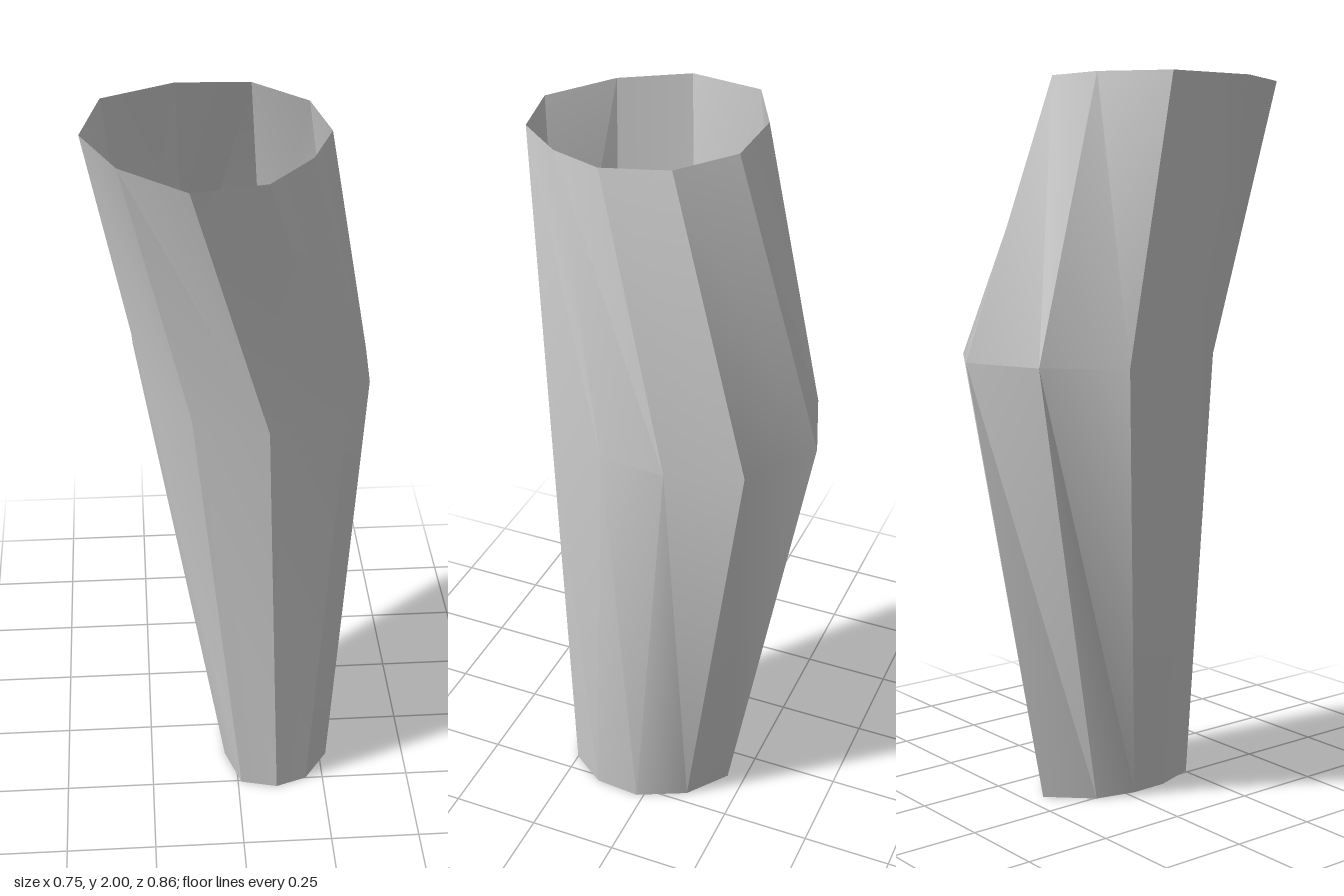
import * as THREE from 'three';
import { toCreasedNormals } from 'three/addons/utils/BufferGeometryUtils.js';

// Cross-sections as [x, z], counter-clockwise seen from above, starting at the front
const top = [[-0.125, 0.43], [0.06, 0.39], [0.175, 0.257], [0.235, 0.11], [0.197, -0.065],
  [0.06, -0.182], [-0.135, -0.184], [-0.325, -0.09], [-0.376, 0.12], [-0.288, 0.3]];
const bend = [[0.075, 0.31], [0.28, 0.245], [0.362, 0.065], [0.375, -0.115], [0.312, -0.308],
  [0.115, -0.43], [-0.11, -0.355], [-0.265, -0.18], [-0.235, 0.055], [-0.12, 0.232]];
const bottom = [[0.112, 0.28], [0.2, 0.25], [0.27, 0.15], [0.28, 0.02], [0.215, -0.115],
  [0.1, -0.2], [-0.005, -0.09], [-0.033, 0.025], [-0.032, 0.13], [0.01, 0.255]];

// Joins stacked rings into an open tube
function loft(rings) {
  const n = rings[0].length;
  const index = [];
  for (let r = 0; r < rings.length - 1; r++) {
    for (let i = 0; i < n; i++) {
      const j = (i + 1) % n;
      const a = r * n + i, b = r * n + j, c = a + n, d = b + n;
      index.push(a, c, d, a, d, b);
    }
  }
  const geometry = new THREE.BufferGeometry();
  geometry.setAttribute('position', new THREE.Float32BufferAttribute(rings.flat(2), 3));
  geometry.setIndex(index);
  return toCreasedNormals(geometry, THREE.MathUtils.degToRad(30));
}

export function createModel() {
  const group = new THREE.Group();
  group.name = 'bentSleeve';

  // Open tapering sleeve; the upper rim tips slightly forward
  const sleeve = new THREE.Mesh(
    loft([
      top.map(([x, z]) => [x, 1.992 - 0.04 * z - 0.015 * x, z]),
      bend.map(([x, z]) => [x, 1.25, z]),
      bottom.map(([x, z]) => [x, 0, z]),
    ]),
    new THREE.MeshStandardMaterial({ color: 0xcccccc, side: THREE.DoubleSide }),
  );
  sleeve.name = 'sleeve';
  group.add(sleeve);
  return group;
}
